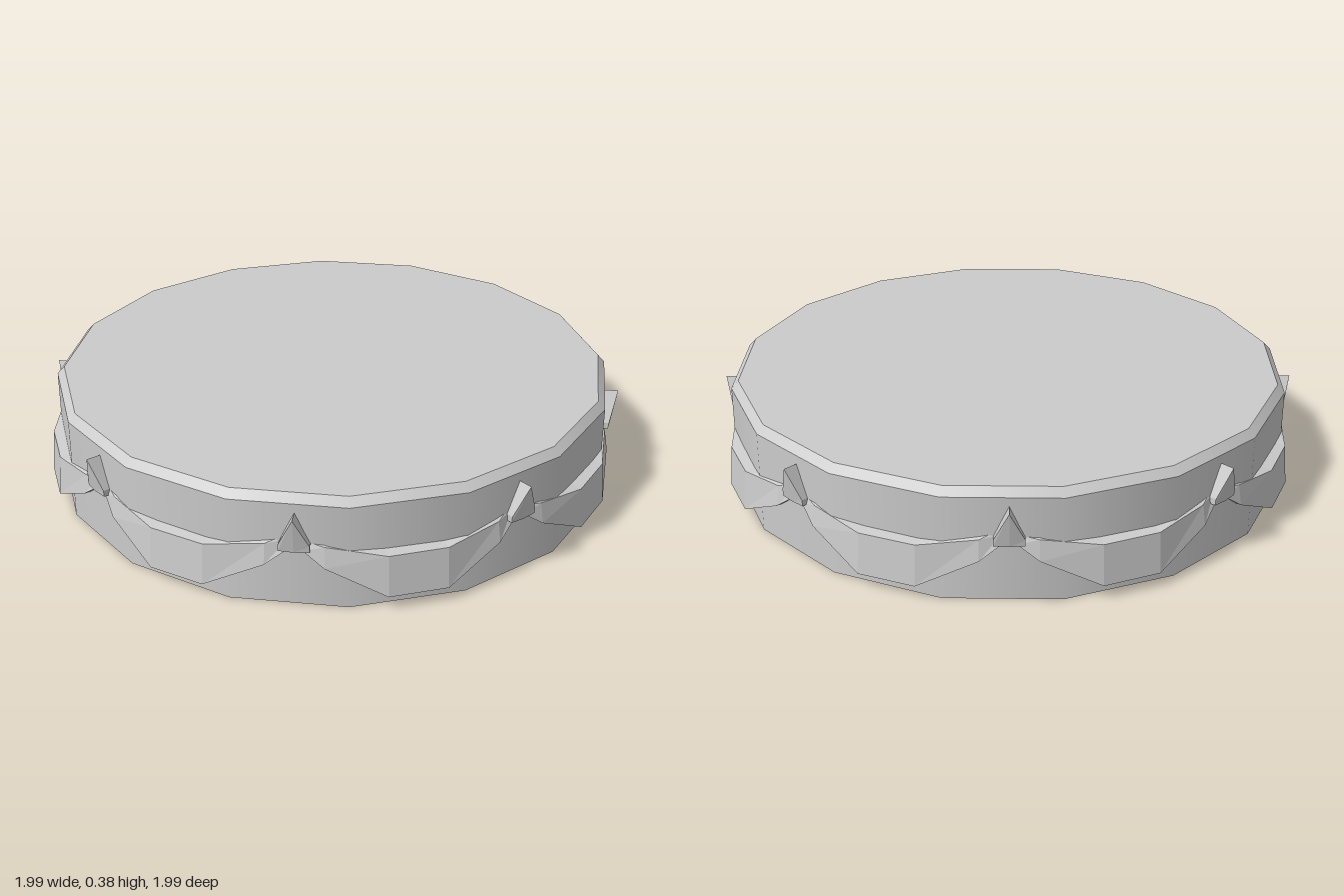
import * as THREE from 'three';

const SIDES = 16, COUNT = 8, START = -10, STEP = 45;
const grey = new THREE.MeshStandardMaterial({ color: 0xcccccc });
const faceted = new THREE.MeshStandardMaterial({ color: 0xcccccc, flatShading: true });

// Point on the drum wall: angle in degrees from +z towards +x
function wall(deg, r, y) {
  const a = THREE.MathUtils.degToRad(deg);
  return [r * Math.sin(a), y, r * Math.cos(a)];
}

// Closed solid through four-cornered sections [angle, [r, y] x 4]
// corners: inner bottom, outer bottom, outer top, inner top
function loft(sections) {
  const pos = sections.flatMap(([deg, ...pts]) => pts.flatMap(([r, y]) => wall(deg, r, y)));
  const index = [0, 1, 2, 0, 2, 3];
  for (let i = 0; i < sections.length - 1; i++) {
    for (let j = 0; j < 4; j++) {
      const k = (j + 1) % 4;
      const a = i * 4 + j, b = a + 4, c = i * 4 + 4 + k, d = i * 4 + k;
      index.push(a, b, c, a, c, d);
    }
  }
  const e = (sections.length - 1) * 4;
  index.push(e, e + 2, e + 1, e, e + 3, e + 2);
  const g = new THREE.BufferGeometry();
  g.setAttribute('position', new THREE.Float32BufferAttribute(pos, 3));
  g.setIndex(index);
  const flat = g.toNonIndexed();
  flat.computeVertexNormals();
  return flat;
}

function add(parent, name, geometry, material, y = 0) {
  const m = new THREE.Mesh(geometry, material);
  m.name = name;
  m.position.y = y;
  parent.add(m);
  return m;
}

export function createModel() {
  const model = new THREE.Group();
  model.name = 'garlandedDrum';

  // Drum wall, bevelled rim, and the two flat ends
  add(model, 'drumWall', new THREE.CylinderGeometry(0.967, 0.967, 0.355, SIDES, 1, true), grey, 0.1775);
  add(model, 'rimBevel', new THREE.CylinderGeometry(0.942, 0.967, 0.027, SIDES, 1, true), grey, 0.3685);
  const ends = [['topFace', 0.942, 0.382, -1], ['bottomFace', 0.967, 0, 1]];
  for (const [name, r, y, dir] of ends) {
    const disc = new THREE.CircleGeometry(r, SIDES);
    disc.rotateX(dir * Math.PI / 2);
    add(model, name, disc, grey, y);
  }

  // Draped swag, mirrored about its middle: [angle, outer radius, bottom, top, inner top]
  const half = [
    [21, 0.955, 0.195, 0.225, 0.24],
    [17, 0.974, 0.145, 0.215, 0.228],
    [5.6, 1.0, 0.05, 0.19, 0.2],
  ];
  const section = s => ([a, r, b, t, ti]) =>
    [s * a, [0.92, b], [r, b], [r - 0.012, t], [0.935, ti]];
  const swag = loft([...half.map(section(-1)), ...[...half].reverse().map(section(1))]);

  // Pointed wedge covering each join, its tip leaning outwards
  const side = a => [a, [0.92, 0.2], [0.972, 0.2], [0.974, 0.222], [0.92, 0.222]];
  const point = loft([
    side(-2.9),
    [0, [0.92, 0.2], [0.975, 0.2], [0.998, 0.325], [0.92, 0.325]],
    side(2.9),
  ]);

  for (let i = 0; i < COUNT; i++) {
    const angle = START + i * STEP;
    add(model, 'point' + (i + 1), point, faceted).rotation.y = THREE.MathUtils.degToRad(angle);
    add(model, 'swag' + (i + 1), swag, faceted).rotation.y = THREE.MathUtils.degToRad(angle + STEP / 2);
  }
  return model;
}
